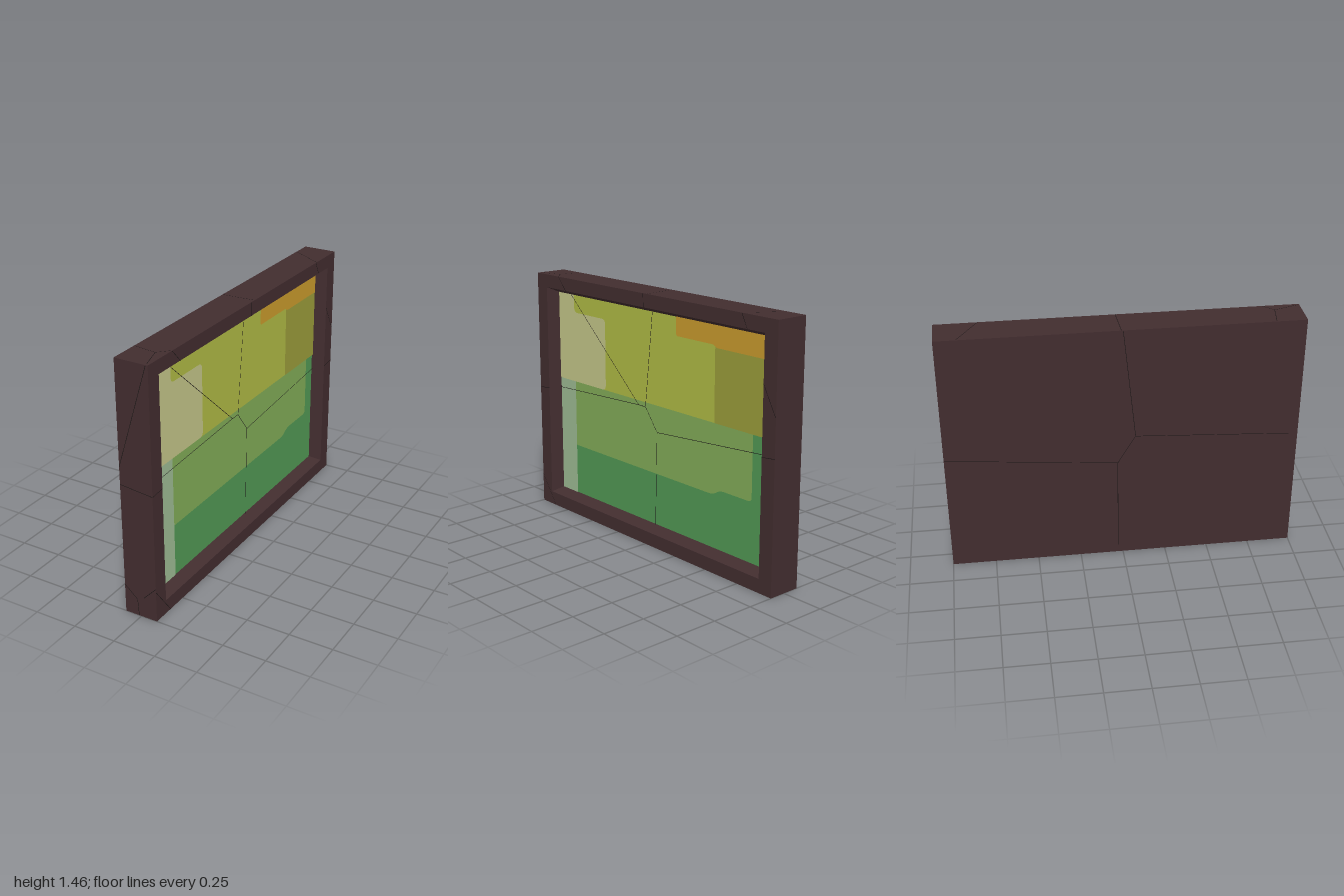
import * as THREE from 'three';

const colours = {
  darkWood: 0x422d2f, crackLine: 0x1a1515, deepGreen: 0x529a55, leafGreen: 0x83ad58, sage: 0x9fbd94,
  yellowGreen: 0xb1bc45, beige: 0xc6c88a, olive: 0x9c9e3b, orange: 0xcb9c2d,
};
const mats = {};
for (const [name, color] of Object.entries(colours)) {
  mats[name] = new THREE.MeshStandardMaterial({ color });
  mats[name].name = name;
}

const HALF = 0.098, HEIGHT = 1.463, CANVAS_X = 0.034;

// Four corners, counter-clockwise as seen from +x
function ring(x, w, y0, y1) {
  return [[x, y0, w], [x, y0, -w], [x, y1, -w], [x, y1, w]];
}

// Wooden frame: rings run from the back edge to the bevel that meets the canvas
function frameGeometry() {
  const rings = [
    ring(-HALF, 1, 0, HEIGHT),
    ring(HALF, 1, 0, HEIGHT),
    ring(HALF, 0.91, 0.08, 1.385),
    ring(CANVAS_X, 0.865, 0.112, 1.354),
  ];
  const pos = [];
  const quad = (a, b, c, d) => pos.push(...a, ...b, ...c, ...a, ...c, ...d);
  for (let i = 0; i < 3; i++) {
    for (let k = 0; k < 4; k++) {
      const n = (k + 1) % 4;
      quad(rings[i][k], rings[i][n], rings[i + 1][n], rings[i + 1][k]);
    }
  }
  const [a, b, c, d] = rings[0];
  quad(d, c, b, a);
  const g = new THREE.BufferGeometry();
  g.setAttribute('position', new THREE.Float32BufferAttribute(pos, 3));
  g.computeVertexNormals();
  return g;
}

// Flat polygon with softened corners; u runs towards -z
function patchGeometry(points, r) {
  const v = points.map(([u, y]) => new THREE.Vector2(u, y));
  const shape = new THREE.Shape();
  v.forEach((p, i) => {
    const prev = v[(i + v.length - 1) % v.length], next = v[(i + 1) % v.length];
    const near = (q) => p.clone().add(q.clone().sub(p).setLength(Math.min(r, q.distanceTo(p) * 0.45)));
    const s = near(prev), e = near(next);
    if (i === 0) shape.moveTo(s.x, s.y); else shape.lineTo(s.x, s.y);
    shape.quadraticCurveTo(p.x, p.y, e.x, e.y);
  });
  shape.closePath();
  return new THREE.ShapeGeometry(shape, 4).rotateY(Math.PI / 2);
}

const rect = (u0, u1, y0, y1) => [[u0, y0], [u1, y0], [u1, y1], [u0, y1]];

// Hairline strips along polylines in the XY plane, facing +z
function cracks(name, lines) {
  const group = new THREE.Group();
  group.name = name;
  for (const line of lines) {
    for (let i = 1; i < line.length; i++) {
      const [x0, y0] = line[i - 1], [x1, y1] = line[i];
      const strip = new THREE.Mesh(new THREE.PlaneGeometry(Math.hypot(x1 - x0, y1 - y0), 0.003), mats.crackLine);
      strip.name = 'crack';
      strip.position.set((x0 + x1) / 2, (y0 + y1) / 2, 0);
      strip.rotation.z = Math.atan2(y1 - y0, x1 - x0);
      group.add(strip);
    }
  }
  return group;
}

export function createModel() {
  const model = new THREE.Group();
  model.name = 'framedPainting';

  const frame = new THREE.Mesh(frameGeometry(), mats.darkWood);
  frame.name = 'frame';
  model.add(frame);

  // Painted patches, layered thinly; outer edges tuck behind the bevel
  const E = 0.88, T = 1.37, B = 0.09;
  const patches = [
    ['lowerField', 'deepGreen', rect(-E, E, B, T), 0.005],
    ['middleField', 'leafGreen', [[-0.74, 0.42], [0.49, 0.42], [0.55, 0.455], [0.785, 0.455], [0.785, 0.86], [-0.74, 0.86]], 0.025],
    ['leftStrip', 'sage', rect(-E, -0.72, B, 0.86), 0.005],
    ['upperField', 'yellowGreen', rect(-E, E, 0.825, T), 0.005],
    ['leftBlock', 'beige', [[-E, 0.825], [-0.425, 0.825], [-0.425, 1.25], [-0.72, 1.25], [-0.72, T], [-E, T]], 0.03],
    ['rightBlock', 'olive', rect(0.5, E, 0.825, T), 0.008],
    ['topPatch', 'orange', [[0.195, 1.25], [0.49, 1.25], [0.51, 1.235], [E, 1.235], [E, T + 0.02], [0.195, T + 0.02]], 0.012],
  ];
  const painting = new THREE.Group();
  painting.name = 'painting';
  patches.forEach(([name, mat, points, r], i) => {
    const patch = new THREE.Mesh(patchGeometry(points, r), mats[mat]);
    patch.name = name;
    patch.position.x = CANVAS_X + i * 0.001;
    painting.add(patch);
  });
  model.add(painting);

  // Cracks across the canvas
  const canvasCracks = cracks('canvasCracks', [
    [[-0.74, 1.354], [-0.12, 0.8], [-0.06, 0.8], [0.04, 0.67], [0.865, 0.735]],
    [[-0.865, 0.765], [-0.12, 0.8]],
    [[-0.06, 0.8], [0, 1.354]],
    [[0.04, 0.67], [0.027, 0.112]],
  ]);
  canvasCracks.rotation.y = Math.PI / 2;
  canvasCracks.position.x = CANVAS_X + 0.008;

  // Cracks on the face of the frame
  const faceCracks = cracks('frameCracks', [
    [[-0.79, 1.462], [-0.72, 1.385]], [[-0.999, 0.75], [-0.91, 0.757]],
    [[-0.999, 0.18], [-0.87, 0.001]], [[0.91, 0.745], [0.999, 0.755]],
    [[0.91, 1.13], [0.999, 0.97]], [[0.75, 1.462], [0.79, 1.385]],
    [[-0.01, 1.385], [-0.013, 1.462]],
  ]);
  faceCracks.rotation.y = Math.PI / 2;
  faceCracks.position.x = HALF + 0.001;

  // Cracks on the back panel
  const backCracks = cracks('backCracks', [
    [[-0.999, 0.75], [0.07, 0.8], [-0.03, 0.63], [-0.999, 0.72]].slice(1),
    [[0.07, 0.8], [0.95, 0.75]], [[0.07, 0.8], [0, 1.46]], [[-0.03, 0.63], [-0.03, 0.05]],
  ]);
  backCracks.rotation.y = -Math.PI / 2;
  backCracks.position.x = -HALF - 0.001;

  // Cracks on the front end and the top
  const endCracks = cracks('endCracks', [
    [[0.085, 1.46], [-0.097, 0.87]], [[-0.097, 0.77], [0.097, 0.75]],
    [[-0.097, 0.17], [-0.02, 0.1], [-0.013, 0.001]], [[0.02, 0.12], [0.097, 0.2]],
  ]);
  endCracks.position.z = 1.001;
  const topCracks = cracks('topCracks', [
    [[-0.097, 0.88], [0.097, 0.76]], [[-0.097, 0.01], [0.097, 0.02]],
    [[-0.097, -0.83], [0.04, -0.85], [0.085, -0.99]], [[0.04, -0.85], [0.097, -0.79]],
  ]);
  topCracks.rotation.x = -Math.PI / 2;
  topCracks.position.y = HEIGHT + 0.001;

  model.add(canvasCracks, faceCracks, backCracks, endCracks, topCracks);
  return model;
}
